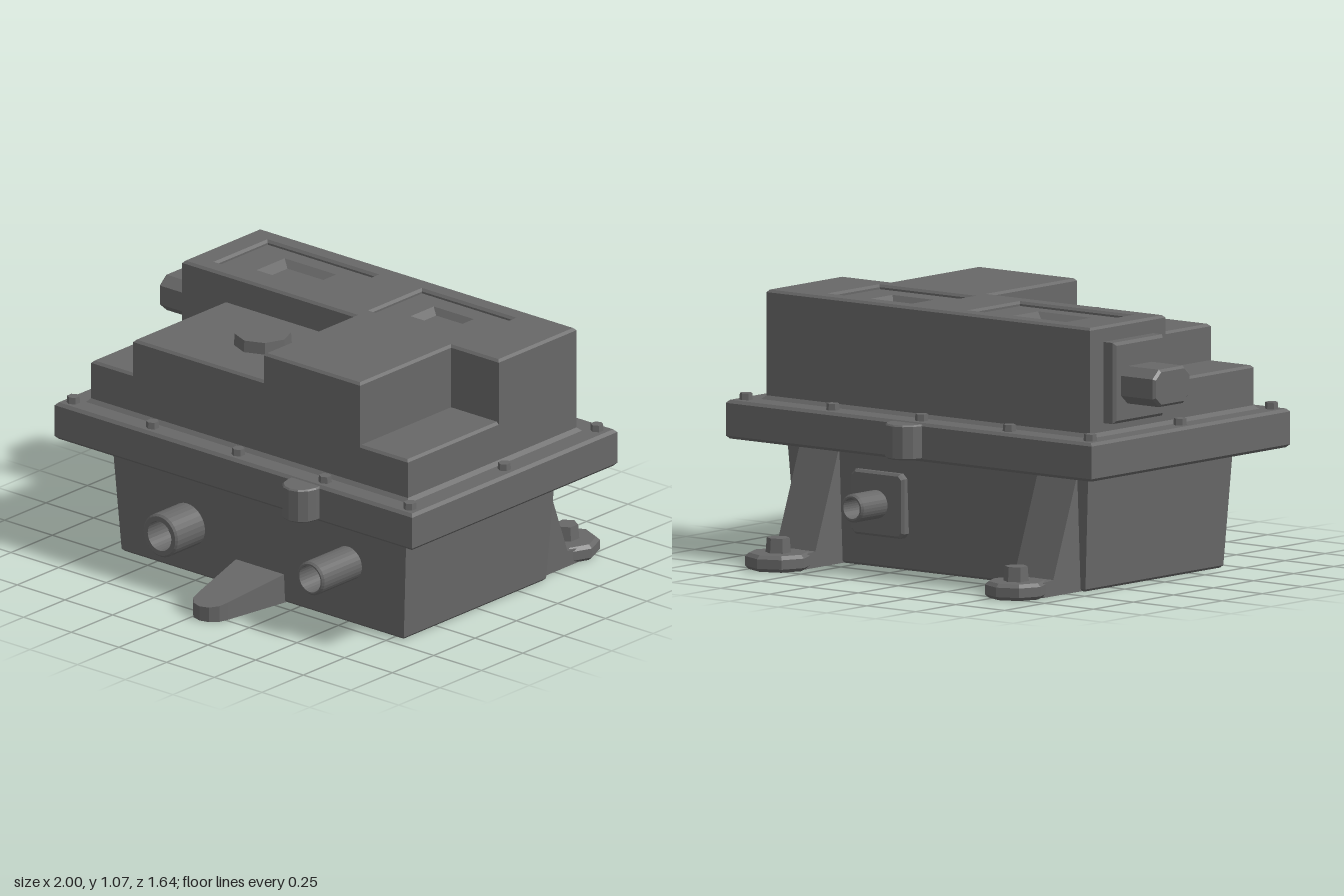
import * as THREE from 'three';

const mat = new THREE.MeshStandardMaterial({ color: 0x686868, flatShading: true, side: THREE.DoubleSide });

export function createModel() {
  const model = new THREE.Group();

  function add(name, geometry, x = 0, y = 0, z = 0) {
    const mesh = new THREE.Mesh(geometry, mat);
    mesh.name = name;
    mesh.position.set(x, y, z);
    model.add(mesh);
    return mesh;
  }

  const rect = (x0, x1, z0, z1) => [[x0, z1], [x1, z1], [x1, z0], [x0, z0]];
  const toPoints = (pts, s = 1) => pts.map(([a, b]) => new THREE.Vector2(a, s * b));

  function extrude(shape, depth, bevel) {
    const g = new THREE.ExtrudeGeometry(shape, {
      depth: depth - 2 * bevel, bevelEnabled: bevel > 0, bevelThickness: bevel,
      bevelSize: bevel, bevelOffset: -bevel, bevelSegments: 1,
    });
    return g.translate(0, 0, bevel);
  }

  // Upright prism from an x,z outline, with optional holes
  function prism(name, outline, y0, y1, bevel = 0, holes = []) {
    const shape = new THREE.Shape(toPoints(outline, -1));
    for (const h of holes) shape.holes.push(new THREE.Path(toPoints(h, -1)));
    return add(name, extrude(shape, y1 - y0, bevel).rotateX(-Math.PI / 2), 0, y0, 0);
  }

  // Sideways prism from a z,y outline between two x values
  function sidePrism(name, outline, x0, x1, bevel = 0) {
    const g = extrude(new THREE.Shape(toPoints(outline)), x1 - x0, bevel);
    return add(name, g.rotateY(-Math.PI / 2), x1, 0, 0);
  }

  // Stack of rectangles [x0, x1, z0, z1, y]; rising makes a solid, falling a well
  function loft(name, rings, bottom = true) {
    const pos = [], idx = [];
    for (const [x0, x1, z0, z1, y] of rings)
      for (const [x, z] of rect(x0, x1, z0, z1)) pos.push(x, y, z);
    for (let r = 0; r < rings.length - 1; r++)
      for (let i = 0; i < 4; i++) {
        const a = r * 4 + i, b = r * 4 + (i + 1) % 4;
        idx.push(a, b, b + 4, a, b + 4, a + 4);
      }
    const t = rings.length * 4 - 4;
    idx.push(t, t + 1, t + 2, t, t + 2, t + 3);
    if (bottom) idx.push(0, 2, 1, 0, 3, 2);
    let g = new THREE.BufferGeometry();
    g.setAttribute('position', new THREE.Float32BufferAttribute(pos, 3));
    g.setIndex(idx);
    g = g.toNonIndexed();
    g.computeVertexNormals();
    return add(name, g);
  }

  // Hollow pipe stub along z, open at its outer end
  function pipe(name, x, y, z, length, r, hole, dir) {
    const profile = [[r, 0], [r, length - 0.008], [r - 0.008, length], [hole, length], [hole, length - 0.12], [0, length - 0.12]];
    const g = new THREE.LatheGeometry(toPoints(profile), 28).rotateX(dir * Math.PI / 2);
    return add(name, g, x, y, z);
  }

  // Lug outline of half-width w at zIn, rounded off at zOut with half-width tip
  function lug(x, w, zIn, zOut, tip, steps) {
    const d = Math.sign(zOut - zIn), pts = [[x - w, zIn]];
    for (let i = 0; i <= steps; i++) {
      const a = Math.PI * (1 - i / steps);
      pts.push([x + tip * Math.cos(a), zOut - d * tip * (1 - Math.sin(a))]);
    }
    pts.push([x + w, zIn]);
    return pts;
  }

  // Tapered lower case, flared under the flange
  loft('lowerCase', [
    [-0.67, 0.79, -0.4, 0.44, 0], [-0.68, 0.8, -0.41, 0.45, 0.01],
    [-0.71, 0.83, -0.43, 0.47, 0.455], [-0.84, 0.97, -0.58, 0.6, 0.49],
  ]);

  // Flange with rounded lugs and bolts
  prism('flange', rect(-0.875, 1, -0.61, 0.63), 0.48, 0.635, 0.012);
  prism('frontLug', lug(0.435, 0.078, 0.55, 0.725, 0.078, 6), 0.49, 0.63, 0.006);
  prism('backLug', lug(0.075, 0.082, -0.55, -0.695, 0.082, 6), 0.49, 0.63, 0.006);
  for (const x of [-0.82, -0.405, 0.045, 0.5, 0.945])
    for (const z of [-0.55, 0.01, 0.58]) {
      if (z === 0.01 && Math.abs(x - 0.06) < 0.8) continue;
      add('flangeBolt', new THREE.CylinderGeometry(0.025, 0.028, 0.04, 6), x, 0.642, z);
    }

  // Stepped upper housing
  loft('housingSkirt', [[-0.79, 0.91, -0.51, 0.55, 0.63], [-0.77, 0.89, -0.49, 0.53, 0.65]]);
  const panels = [
    { outer: [-0.67, -0.08, -0.42, -0.09], inner: [-0.51, -0.24, -0.34, -0.17], floor: [-0.47, -0.28, -0.31, -0.2] },
    { outer: [0.14, 0.64, -0.42, -0.09], inner: [0.28, 0.49, -0.33, -0.19], floor: [0.31, 0.47, -0.31, -0.21] },
  ];
  const openings = panels.map(({ outer: [a, b, c, d] }) => rect(a + 0.012, b - 0.012, c + 0.012, d - 0.012));
  prism('rearHousing', rect(-0.77, 0.89, -0.49, -0.02), 0.63, 1.073, 0.01, openings);
  prism('frontStep', rect(-0.77, 0.89, -0.06, 0.53), 0.63, 0.81, 0.01);
  prism('frontDeck', rect(-0.55, 0.3, -0.06, 0.53), 0.63, 0.955, 0.01);
  prism('frontHousing', rect(0.135, 0.64, -0.06, 0.53), 0.63, 1.073, 0.01);

  // Sunken top panels, each with a smaller recess
  for (const { outer, inner, floor } of panels)
    loft('sunkenPanel', [[...outer, 1.055], [...inner, 1.055], [...floor, 1.03]], false);

  // Octagonal filler plug
  add('fillerPlug', new THREE.CylinderGeometry(0.112, 0.116, 0.06, 8), -0.13, 0.973, 0.23);

  // Side connector
  sidePrism('connectorPlate', [[-0.41, 0.685], [-0.1, 0.685], [-0.1, 1.01], [-0.41, 1.01]], -0.83, -0.76, 0.012);
  sidePrism('connectorPlug', [
    [-0.33, 0.76], [-0.18, 0.76], [-0.14, 0.795], [-0.14, 0.875],
    [-0.18, 0.91], [-0.33, 0.91], [-0.37, 0.875], [-0.37, 0.795],
  ], -1, -0.8, 0.01);

  // Pipe stubs
  pipe('frontDrainPipe', -0.325, 0.207, 0.42, 0.21, 0.09, 0.062, 1);
  pipe('frontPipe', 0.52, 0.26, 0.42, 0.275, 0.07, 0.056, 1);
  pipe('backPipe', 0.355, 0.26, -0.4, 0.21, 0.057, 0.042, -1);
  const pad = new THREE.Shape(toPoints([
    [0.24, 0.13], [0.47, 0.13], [0.49, 0.15], [0.49, 0.37], [0.47, 0.39], [0.24, 0.39], [0.22, 0.37], [0.22, 0.15],
  ]));
  add('backPipePlate', extrude(pad, 0.06, 0.01), 0, 0, -0.455);

  // Front foot, sloping down towards a rounded tip
  const foot = prism('frontFoot', lug(0.05, 0.13, 0.43, 0.82, 0.08, 6), 0, 0.12);
  const p = foot.geometry.attributes.position;
  for (let i = 0; i < p.count; i++)
    if (p.getY(i) > 0.06) p.setY(i, 0.125 - 0.065 * (p.getZ(i) - 0.43) / 0.39);

  // Rear legs with bolted octagonal feet
  for (const [x, r] of [[-0.555, 0.125], [0.665, 0.132]]) {
    sidePrism('rearLeg', [[-0.38, 0], [-0.64, 0], [-0.64, 0.06], [-0.58, 0.065], [-0.43, 0.47], [-0.38, 0.47]], x - 0.1, x + 0.1);
    const octagon = [];
    for (let i = 0; i < 8; i++) {
      const a = i * Math.PI / 4;
      octagon.push([x + r * Math.sin(a), -0.69 + r * Math.cos(a)]);
    }
    prism('rearFoot', octagon, 0, 0.066, 0.014);
    add('footBolt', new THREE.CylinderGeometry(0.046, 0.052, 0.07, 6), x, 0.09, -0.69);
  }
  return model;
}
